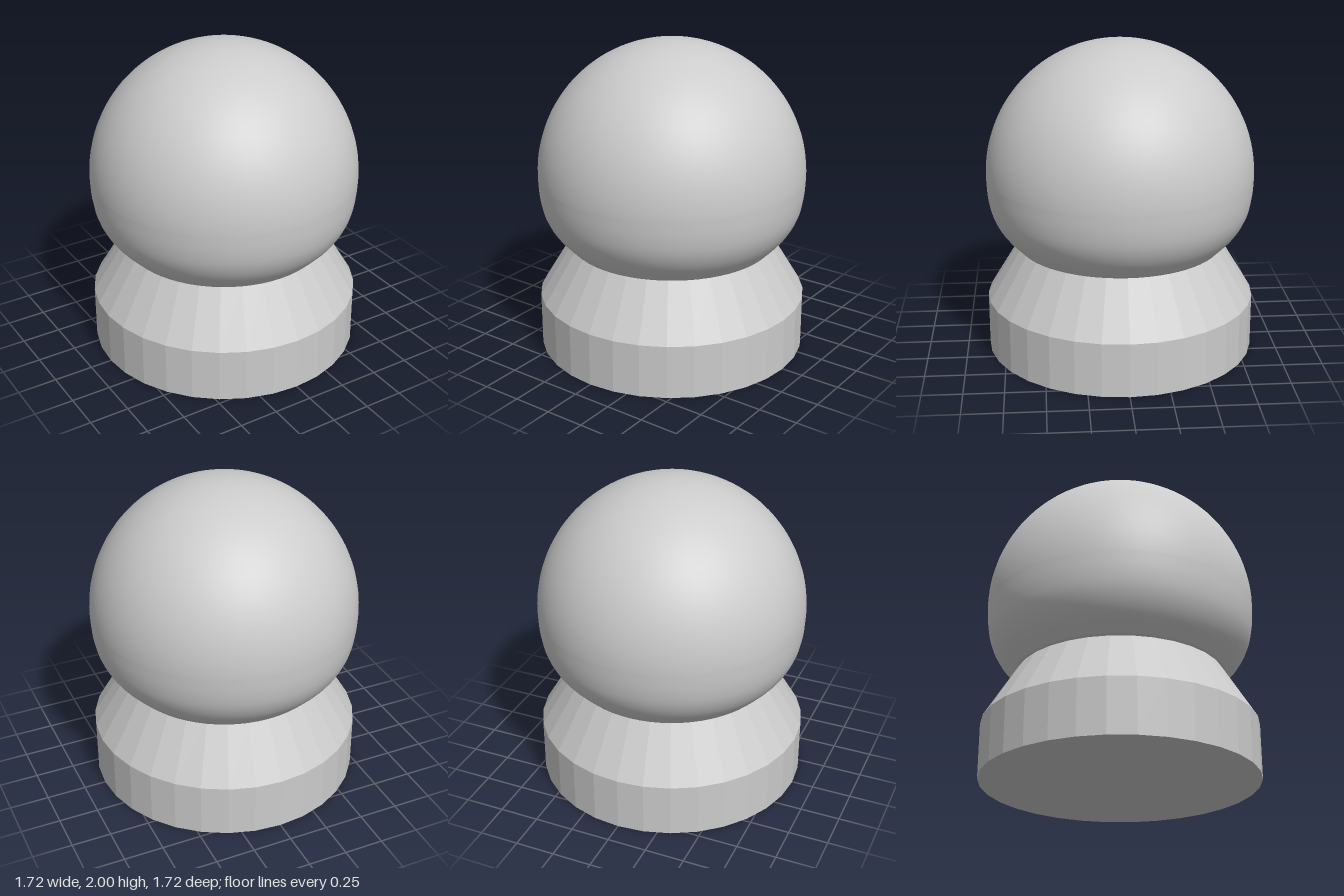
import * as THREE from 'three';

export function createModel() {
  const model = new THREE.Group();
  const grey = new THREE.MeshStandardMaterial({ color: 0xcccccc });
  grey.name = 'lightGrey';
  const greyFaceted = new THREE.MeshStandardMaterial({ color: 0xcccccc, flatShading: true });
  greyFaceted.name = 'lightGreyFaceted';

  const SIDES = 32, BASE_R = 0.86, NECK_R = 0.655, BASE_H = 0.345, NECK_Y = 0.683;

  // Stacked faceted sections, each from y0 to y1
  const section = (name, top, bottom, y0, y1, open) => {
    const mesh = new THREE.Mesh(
      new THREE.CylinderGeometry(top, bottom, y1 - y0, SIDES, 1, open), greyFaceted);
    mesh.name = name;
    mesh.position.y = (y0 + y1) / 2;
    model.add(mesh);
  };
  section('base', BASE_R, BASE_R, 0, BASE_H, false);
  section('taperedNeck', NECK_R, BASE_R, BASE_H, NECK_Y, true);

  // Round head: lower curve tucks in to the neck, upper part is a hemisphere
  const R = 0.85, CY = 1.15;
  const lower = new THREE.SplineCurve([
    [NECK_R, NECK_Y], [0.755, 0.79], [0.815, 0.9], [0.842, 1.02], [R, CY],
  ].map(([x, y]) => new THREE.Vector2(x, y))).getPoints(20);
  const profile = [new THREE.Vector2(0, NECK_Y), ...lower];
  for (let i = 1; i <= 32; i++) {
    const a = (i / 32) * Math.PI / 2;
    profile.push(new THREE.Vector2(i === 32 ? 0 : R * Math.cos(a), CY + R * Math.sin(a)));
  }
  const head = new THREE.Mesh(new THREE.LatheGeometry(profile, 64), grey);
  head.name = 'roundHead';
  model.add(head);

  return model;
}
